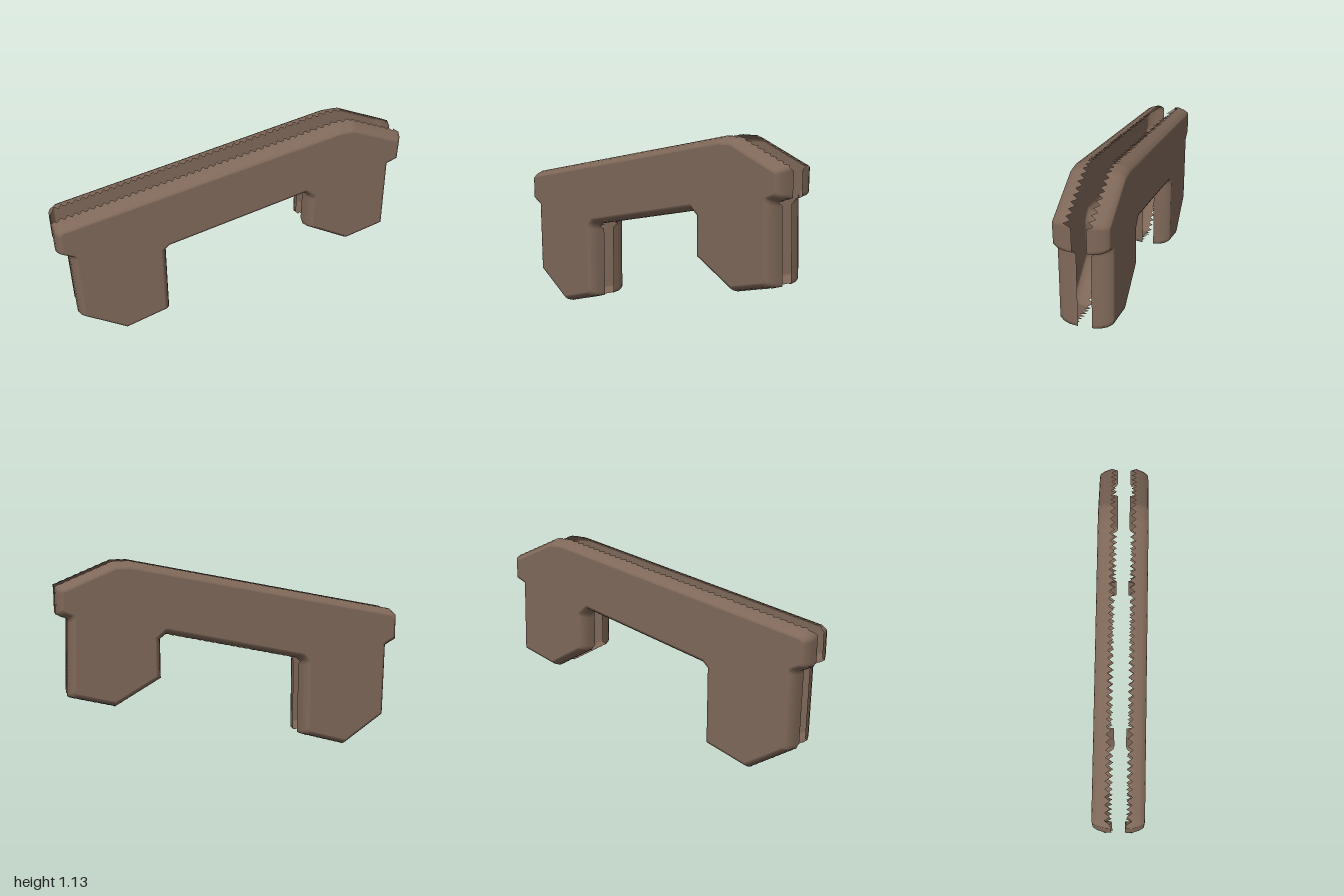
import * as THREE from 'three';

// Outer outline, counter-clockwise seen from the front
const OUTLINE = [
  [-1, 0.63], [-0.935, 0.595], [-0.93, 0.17], [-0.67, 0], [-0.395, 0.085],
  [-0.395, 0.525], [-0.375, 0.545], [0.41, 0.725], [0.44, 0.7], [0.44, 0.48],
  [0.7, 0.335], [0.955, 0.405], [0.94, 0.83], [1, 0.855], [1, 1.005],
  [0.69, 1.133], [0.6, 1.133], [-0.965, 0.815], [-1, 0.785],
].map(([x, y]) => new THREE.Vector2(x, y));

// Rim profile from the flat face towards the open middle: inset, z
const PROFILE = [[0.04, 0.138], [0.027, 0.134], [0.013, 0.11], [0.004, 0.08], [0, 0.036]];

// Move every edge of the outline inwards by d
function inset(d) {
  const n = OUTLINE.length;
  return OUTLINE.map((p, i) => {
    const a = p.clone().sub(OUTLINE[(i + n - 1) % n]).normalize();
    const b = OUTLINE[(i + 1) % n].clone().sub(p).normalize();
    const na = new THREE.Vector2(-a.y, a.x), nb = new THREE.Vector2(-b.y, b.x);
    const miter = na.clone().add(nb).multiplyScalar(d / (1 + na.dot(nb)));
    return p.clone().add(miter);
  });
}

// Sample a loop finely; sloped edges end in small teeth, upright ones run straight
function sampleLoop(corners) {
  const points = [];
  OUTLINE.forEach((p, i) => {
    const j = (i + 1) % OUTLINE.length;
    const edge = OUTLINE[j].clone().sub(p);
    const steps = Math.max(2, 2 * Math.round(edge.length() / 0.04));
    const upright = Math.abs(edge.x) < 0.1 * Math.abs(edge.y);
    for (let s = 0; s < steps; s++) {
      const q = corners[i].clone().lerp(corners[j], s / steps);
      const tooth = upright ? 0 : s % 2 ? 0.006 : 0.034;
      points.push({ x: q.x, y: q.y, tooth });
    }
  });
  return points;
}

function geometryFrom(positions, index, side) {
  if (side < 0) index.reverse();
  const g = new THREE.BufferGeometry();
  g.setAttribute('position', new THREE.Float32BufferAttribute(positions, 3));
  g.setIndex(index);
  g.computeVertexNormals();
  return g;
}

// Flat face plate
function plateGeometry(side) {
  const corners = inset(PROFILE[0][0]);
  const positions = corners.flatMap((p) => [p.x, p.y, side * PROFILE[0][1]]);
  return geometryFrom(positions, THREE.ShapeUtils.triangulateShape(corners, []).flat(), side);
}

// Rounded rim, open towards the middle with a ragged edge
function rimGeometry(side) {
  const positions = [], index = [];
  PROFILE.forEach(([d, z], k) => {
    const loop = sampleLoop(inset(d));
    const n = loop.length;
    const last = k === PROFILE.length - 1;
    loop.forEach((p) => positions.push(p.x, p.y, side * (z + (last ? p.tooth : 0))));
    if (last) return;
    for (let i = 0; i < n; i++) {
      const a = k * n + i, b = k * n + (i + 1) % n;
      index.push(a, a + n, b, b, a + n, b + n);
    }
  });
  return geometryFrom(positions, index, side);
}

export function createModel() {
  // The shells are open, so their insides show through the gap
  const brown = new THREE.MeshStandardMaterial({ color: 0x7f6859, side: THREE.DoubleSide });
  brown.name = 'brown';
  const model = new THREE.Group();
  model.name = 'bridgeShell';
  for (const [name, side] of [['front', 1], ['back', -1]]) {
    const half = new THREE.Group();
    half.name = name + 'Shell';
    const plate = new THREE.Mesh(plateGeometry(side), brown);
    plate.name = name + 'Plate';
    const rim = new THREE.Mesh(rimGeometry(side), brown);
    rim.name = name + 'Rim';
    half.add(plate, rim);
    model.add(half);
  }
  return model;
}
